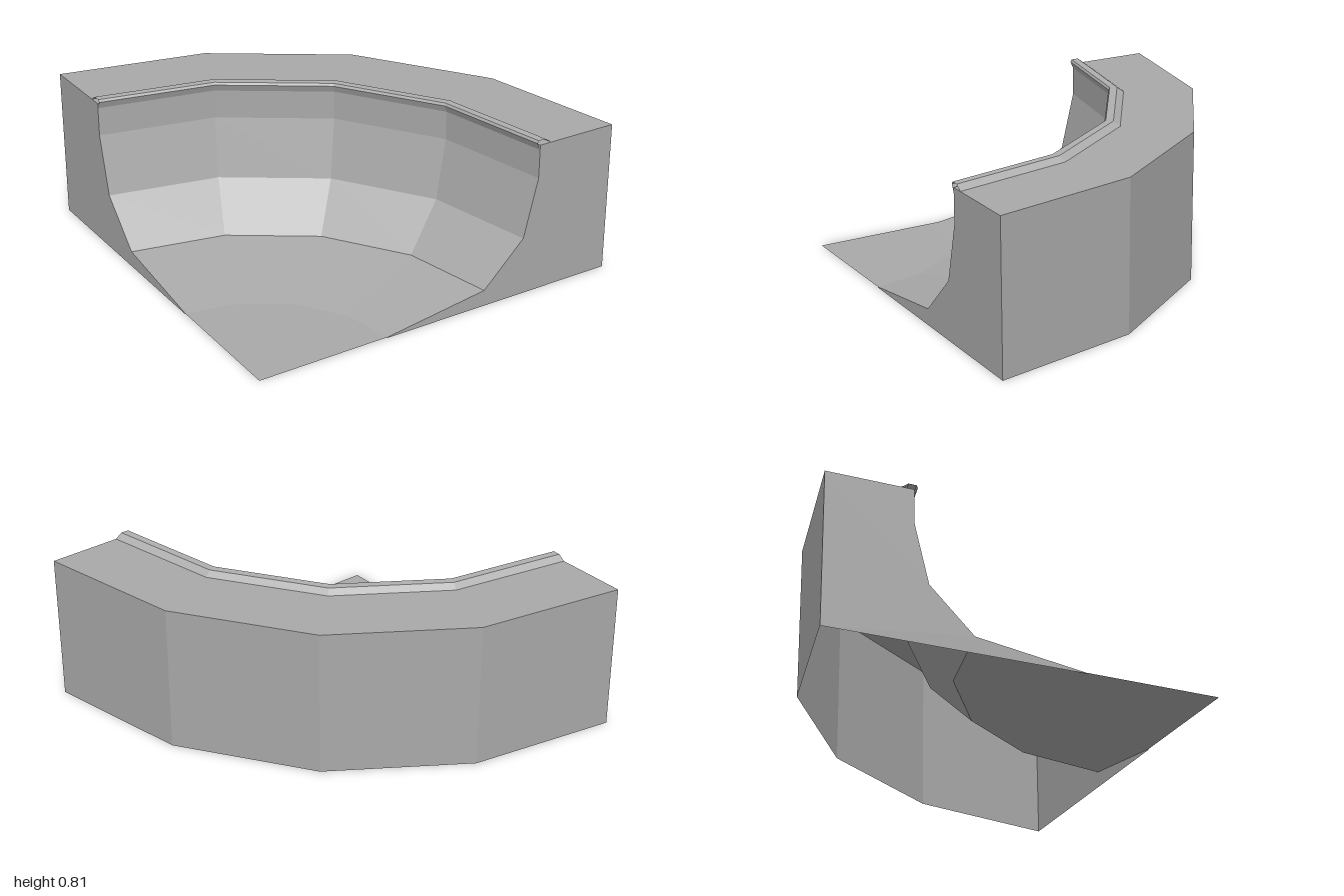
import * as THREE from 'three';

// A quarter-turn bowl corner: every ring is a four-sided sweep about one corner.
const SEGMENTS = 4;
const DECK_Y = 0.785;
const LIP_R = 1.56;

const outerWall = [[2, 0], [2, DECK_Y]];
const deck = [[2, DECK_Y], [LIP_R, DECK_Y]];
const bowlWall = [[LIP_R, DECK_Y], [LIP_R, 0.61], [1.485, 0.305], [1.26, 0.085]];
const bowlFloor = [[1.26, 0.085], [0.7, 0.004], [0, 0]];
const copingProfile = [[1.625, DECK_Y], [1.59, 0.81], [1.55, 0.81], [1.543, 0.797], [LIP_R, 0.76]];

function createMaterial(name, color) {
  const material = new THREE.MeshStandardMaterial({ color, side: THREE.DoubleSide });
  material.name = name;
  return material;
}

// Sweep a (radius, height) profile through a quarter turn with flat facets
function sweep(profile) {
  const points = profile.map(([r, y]) => new THREE.Vector2(r, y));
  const geometry = new THREE.LatheGeometry(points, SEGMENTS, Math.PI / 2, Math.PI / 2).toNonIndexed();
  geometry.computeVertexNormals();
  return geometry;
}

// Flat cross-section under the bowl surface; sign mirrors it for the other end
function crossSection(sign) {
  const outline = [...outerWall, ...bowlWall, [0.7, 0.004], [0.7, 0]];
  return new THREE.ShapeGeometry(
    new THREE.Shape(outline.map(([r, y]) => new THREE.Vector2(sign * r, y)))
  );
}

export function createModel() {
  const model = new THREE.Group();
  model.name = 'bowlCorner';
  const concrete = createMaterial('concrete', 0xa9a9a9);
  const copingGrey = createMaterial('copingGrey', 0xafafaf);

  const add = (name, geometry, material) => {
    const mesh = new THREE.Mesh(geometry, material);
    mesh.name = name;
    mesh.position.set(-1, 0, 1);
    model.add(mesh);
  };

  // Swept surfaces
  add('outerWall', sweep(outerWall), concrete);
  add('deck', sweep(deck), concrete);
  add('bowlWall', sweep(bowlWall), concrete);
  add('bowlFloor', sweep(bowlFloor), concrete);
  add('coping', sweep(copingProfile), copingGrey);

  // End faces on the front and right sides
  add('frontEnd', crossSection(1), concrete);
  add('rightEnd', crossSection(-1).rotateY(-Math.PI / 2), concrete);

  return model;
}
